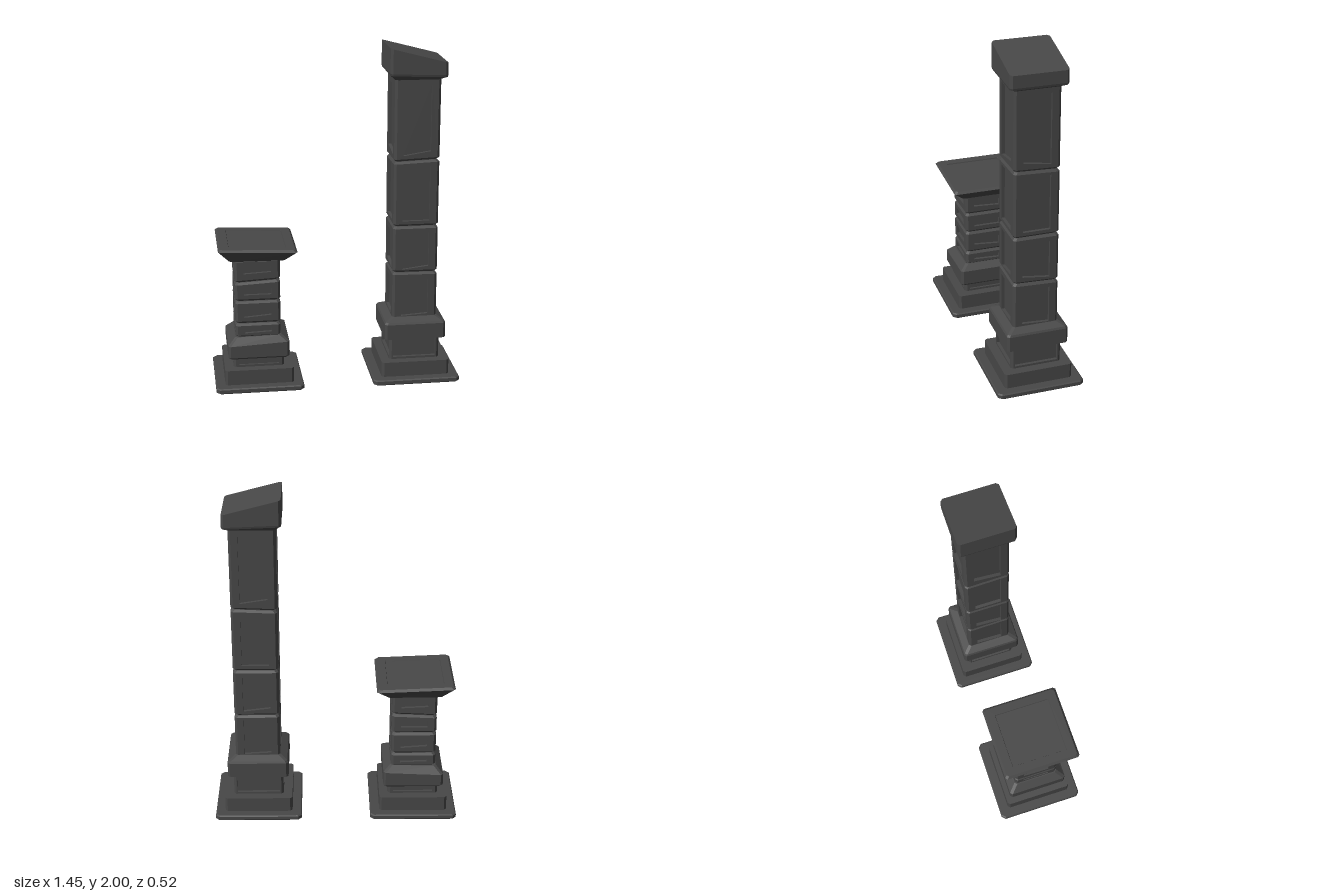
import * as THREE from 'three';

const stone = new THREE.MeshStandardMaterial({ color: 0x484848 });
stone.name = 'darkStone';

// Lofts chamfered-square rings { h: half width, y, c: chamfer, tx, tz: tilt }.
// panel { seg, p, y0, y1, j, d } sinks a slightly skewed panel into all four sides of one segment.
function loft(rings, panel) {
  const pos = [];
  const tri = (a, b, c) => pos.push(...a, ...b, ...c);
  const quad = (a, b, c, d) => { tri(a, b, c); tri(a, c, d); };
  const turn = (x, y, z, k) => {
    for (let i = 0; i < k; i++) [x, z] = [z, -x];
    return [x, y, z];
  };
  const loops = rings.map(({ h, y, c = 0.014, tx = 0, tz = 0 }) => {
    const pts = [];
    for (let k = 0; k < 4; k++) {
      for (const s of [-1, 1]) {
        const p = turn(s * (h - c), 0, h, k);
        p[1] = y + tx * p[0] + tz * p[2];
        pts.push(p);
      }
    }
    return pts;
  });
  for (let r = 0; r < loops.length - 1; r++) {
    for (let i = 0; i < 8; i++) {
      const n = (i + 1) % 8;
      const outer = [loops[r][i], loops[r][n], loops[r + 1][n], loops[r + 1][i]];
      if (!panel || panel.seg !== r || i % 2) { quad(...outer); continue; }
      // frame, recess walls and recess floor
      const { p, y0, y1, j = 0, d = 0.018 } = panel, k = i / 2;
      const h = rings[r].h, s = k % 2 ? -j : j;
      const corners = [[-p, y0 - s / 2], [p, y0 + s / 2], [p, y1], [-p, y1 + s / 2]];
      const rim = corners.map(([x, y]) => turn(x, y, h, k));
      const floor = corners.map(([x, y]) => turn(x, y, h - d, k));
      for (let e = 0; e < 4; e++) {
        const f = (e + 1) % 4;
        quad(outer[e], outer[f], rim[f], rim[e]);
        quad(rim[e], rim[f], floor[f], floor[e]);
      }
      quad(...floor);
    }
  }
  const first = loops[0], last = loops[loops.length - 1];
  for (let i = 1; i < 7; i++) {
    tri(last[0], last[i], last[i + 1]);
    tri(first[0], first[i + 1], first[i]);
  }
  const g = new THREE.BufferGeometry();
  g.setAttribute('position', new THREE.Float32BufferAttribute(pos, 3));
  g.computeVertexNormals();
  return g;
}

function add(group, name, rings, panel) {
  const mesh = new THREE.Mesh(loft(rings, panel), stone);
  mesh.name = name;
  group.add(mesh);
}

// Shaft block with bevelled ends; lo and hi are [y, tiltX, tiltZ] of its joints.
function shaftBlock(group, name, lo, hi, panel) {
  const ring = (h, [y, tx, tz], dy) => ({ h, y: y + dy, tx, tz });
  add(group, name, [
    ring(0.122, lo, 0.002), ring(0.133, lo, 0.014),
    ring(0.133, hi, -0.014), ring(0.122, hi, -0.002),
  ], { seg: 1, p: 0.08, ...panel });
}

// Stepped foot shared by both pillars
function foot(group) {
  add(group, 'basePlate', [
    { h: 0.253, y: 0, c: 0.02 }, { h: 0.259, y: 0.006, c: 0.02 },
    { h: 0.259, y: 0.026, c: 0.02 }, { h: 0.253, y: 0.032, c: 0.02 },
  ]);
  add(group, 'plinth', [{ h: 0.203, y: 0.03 }, { h: 0.203, y: 0.122 }]);
}

function stack(group, joints, panels) {
  panels.forEach(([y0, y1, j], i) =>
    shaftBlock(group, 'shaftBlock' + (i + 1), joints[i], joints[i + 1], { y0, y1, j }));
}

function tallPillar() {
  const g = new THREE.Group();
  g.name = 'tallPillar';
  foot(g);
  add(g, 'neck', [{ h: 0.15, y: 0.12 }, { h: 0.15, y: 0.262 }],
    { seg: 0, p: 0.128, y0: 0.135, y1: 0.247 });
  add(g, 'collar', [
    { h: 0.182, y: 0.26 }, { h: 0.182, y: 0.352 },
    { h: 0.176, y: 0.364 }, { h: 0.135, y: 0.386 },
  ]);
  stack(g,
    [[0.37, 0, 0], [0.657, -0.01, 0.04], [0.947, 0, 0], [1.337, 0.04, 0.04], [1.83, 0, 0]],
    [[0.395, 0.615, 0.01], [0.69, 0.905, 0.02], [0.98, 1.31, 0], [1.385, 1.785, 0.025]]);
  // sloping, broken-off cap
  add(g, 'slantedCap', [
    { h: 0.132, y: 1.815 }, { h: 0.163, y: 1.838, tx: -0.04 },
    { h: 0.166, y: 1.85, tx: -0.04 }, { h: 0.165, y: 1.957, tx: -0.26 },
  ]);
  return g;
}

function shortPillar() {
  const g = new THREE.Group();
  g.name = 'shortPillar';
  foot(g);
  add(g, 'neck', [{ h: 0.15, y: 0.12 }, { h: 0.15, y: 0.186 }],
    { seg: 0, p: 0.118, y0: 0.135, y1: 0.167, d: 0.012 });
  add(g, 'collar', [
    { h: 0.172, y: 0.182 }, { h: 0.18, y: 0.192 },
    { h: 0.18, y: 0.272, tx: 0.05 }, { h: 0.137, y: 0.308, tx: 0.02 },
  ]);
  stack(g,
    [[0.3, 0, 0], [0.388, 0, 0], [0.527, 0, 0], [0.648, 0.05, 0], [0.785, 0, 0]],
    [[0.33, 0.356, 0.006], [0.432, 0.48, 0.012], [0.566, 0.606, 0], [0.7, 0.738, 0.008]]);
  // flared, gently tilted cap with a sunken top
  const tx = -0.04;
  add(g, 'flaredCap', [
    { h: 0.135, y: 0.775 }, { h: 0.165, y: 0.785, tx: -0.01 },
    { h: 0.228, y: 0.856, tx, c: 0.012 }, { h: 0.216, y: 0.869, tx, c: 0.012 },
    { h: 0.166, y: 0.869, tx, c: 0.002 }, { h: 0.164, y: 0.863, tx, c: 0.002 },
  ]);
  return g;
}

export function createModel() {
  const model = new THREE.Group();
  model.name = 'stonePillars';
  const tall = tallPillar(), short = shortPillar();
  tall.position.x = 0.466;
  short.position.x = -0.466;
  model.add(tall, short);
  return model;
}
